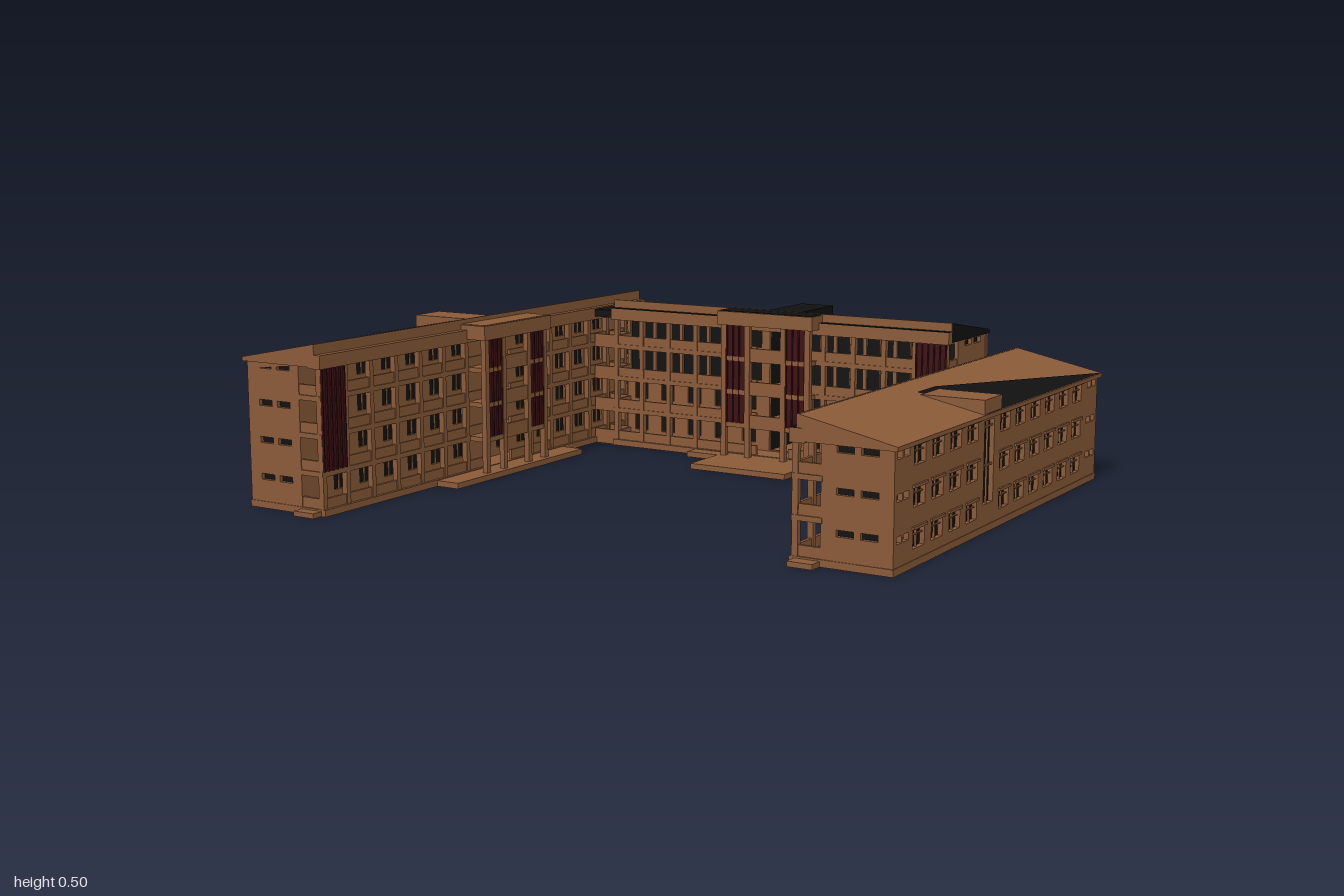
import * as THREE from 'three';

const mat = (c) => new THREE.MeshStandardMaterial({ color: c });
const BROWN = mat(0x8a5a38), DARK = mat(0x111111), RED = mat(0x3c0f12);
const STOREY = 0.11, BASE = 0.02;

function add(parent, name, geometry, material = BROWN) {
  const m = new THREE.Mesh(geometry, material);
  m.name = name;
  parent.add(m);
  return m;
}

// box given by its min / max corners
function box(parent, name, x0, x1, y0, y1, z0, z1, material) {
  const g = new THREE.BoxGeometry(x1 - x0, y1 - y0, z1 - z0);
  g.translate((x0 + x1) / 2, (y0 + y1) / 2, (z0 + z1) / 2);
  return add(parent, name, g, material);
}

function rectPath(P, [x0, x1, y0, y1]) {
  const p = new P();
  p.moveTo(x0, y0).lineTo(x1, y0).lineTo(x1, y1).lineTo(x0, y1).closePath();
  return p;
}

// flat wall in the xy plane with rectangular openings
function wallGeometry(rect, holes, depth) {
  const s = rectPath(THREE.Shape, rect);
  s.holes = holes.map((h) => rectPath(THREE.Path, h));
  return new THREE.ExtrudeGeometry(s, { depth, bevelEnabled: false });
}

// Vertical slats over a dark red screen
function louvre(parent, x0, x1, y0, y1, z) {
  box(parent, 'redScreen', x0, x1, y0, y1, z - 0.006, z, RED);
  const n = Math.round((x1 - x0) / 0.02);
  for (let i = 0; i <= n; i++) {
    const x = x0 + ((x1 - x0) * i) / n;
    box(parent, 'slat', x - 0.002, x + 0.002, y0, y1, z - 0.008, z + 0.005, RED);
  }
}

// Projecting entrance bay: platform, columns, louvres, balconies, flat roof
function entrance(parent, o) {
  const g = new THREE.Group();
  g.name = 'entranceBay';
  parent.add(g);
  const { d, floors, bayDepth: p, bayTop: top } = o;
  const z0 = d - 0.02, z1 = d + p;
  for (const [w, z] of o.steps) box(g, 'entranceStep', -w, w, 0, 0.018, d - 0.03, d + z);
  box(g, 'bayRoof', -0.175, 0.175, top - 0.045, top, d - 0.04, z1, BROWN);
  box(g, 'bayRoofTop', -0.17, 0.17, top, top + 0.002, d - 0.04, z1 - 0.005, o.roofMat);
  for (const s of [-1, 1]) {
    for (const x of [0.066, 0.155])
      box(g, 'bayColumn', s * x - 0.009, s * x + 0.009, 0, top - 0.045, z1 - 0.025, z1 - 0.007);
    const a = s * 0.11;
    louvre(g, a - 0.034, a + 0.034, 0.13, top - 0.045, z1 - 0.014);
  }
  for (let f = 1; f < floors; f++) {
    const y = BASE + f * STOREY;
    box(g, 'bayFloor', -0.16, 0.16, y - 0.015, y, z0, z1 - 0.01);
    box(g, 'bayParapet', -0.06, 0.06, y, y + 0.03, z1 - 0.02, z1 - 0.01);
  }
}

// One block; x runs along it, z from the outer wall (0) to the gallery (d)
function block(name, o) {
  const g = new THREE.Group();
  g.name = name;
  const { x0, x1, d, floors, eave, ridge, first, step, margin } = o;
  const top = eave - 0.012, zc = d - 0.09, a = x0 + 0.012, b = x1 - 0.012;
  const fl = [...Array(floors).keys()].map((f) => BASE + f * STOREY);
  const centres = [];
  for (let c = first; c < 1; c += step) {
    if (c < x1 - margin) centres.push(c);
    if (-c > x0 + margin) centres.push(-c);
  }

  // Base and dark interior behind the window openings
  box(g, 'base', x0 + 0.005, x1 - 0.005, 0, BASE, 0.01, d);
  const rooms = o.hall ? [[a, -0.06], [0.06, b]] : [[a, b]];
  for (const [p, q] of rooms)
    box(g, 'interior', p + 0.008, q - (q === b ? 0.008 : 0), BASE, top, 0.026, zc - 0.008, DARK);

  // Outer wall with windows and a stair window
  const outer = [], inner = [];
  for (const y of fl) {
    for (const c of centres) {
      outer.push([c - 0.035, c + 0.035, y + 0.029, y + 0.081]);
      if (Math.abs(c) < 0.07) continue;
      const wide = o.wideTop && y > 0.2;
      const w = wide ? 0.047 : 0.026;
      inner.push([c - w, c + w, y + (wide ? 0.015 : 0.025), y + 0.082]);
    }
    if (o.hall) {
      outer.push([-0.045, 0.045, y + 0.03, y + 0.09]);
      inner.push([-0.055, 0.055, y + 0.004, y + 0.09]);
    }
  }
  if (!o.hall) outer.push([-0.034, 0.034, 0.08, top - 0.01]);
  if (margin > 0.1) // small paired openings near the corners
    for (const y of fl) for (const e of [x0 + 0.025, x1 - 0.095])
      for (const k of [0, 0.04]) outer.push([e + k, e + k + 0.03, y + 0.06, y + 0.08]);
  add(g, 'outerWall', wallGeometry([a, b, 0.01, top], outer, 0.016), o.rearMat).position.z = 0.012;
  add(g, 'galleryWall', wallGeometry([a, b, 0.01, top], inner, 0.012)).position.z = zc - 0.012;

  // Window bars and lintels
  for (const y of fl) for (const c of centres) {
    box(g, 'windowBar', c - 0.002, c + 0.002, y + 0.029, y + 0.081, 0.018, 0.024);
    box(g, 'windowRail', c - 0.035, c + 0.035, y + 0.062, y + 0.065, 0.018, 0.024);
    box(g, 'lintel', c - 0.042, c + 0.042, y + 0.081, y + 0.089, 0.006, 0.014, o.rearMat);
    box(g, 'galleryWindowBar', c - 0.002, c + 0.002, y + 0.025, y + 0.082, zc - 0.007, zc - 0.002);
  }
  for (const y of fl) box(g, 'stairRail', -0.045, 0.045, y + 0.055, y + 0.06, 0.016, 0.022);
  box(g, 'stairBar', -0.002, 0.002, 0.08, top, 0.016, 0.022);

  // Ribs on the outer wall
  if (o.ribs) for (const c of [...centres.flatMap((v) => [v + step / 2]), x0 + 0.012, -0.07, 0.07])
    box(g, 'rib', c - 0.006, c + 0.006, 0, top, 0, 0.016);

  // End walls with slot windows
  const slots = fl.flatMap((y) => [[0.055, 0.105, y + 0.065, y + 0.083], [0.125, 0.175, y + 0.065, y + 0.083]]);
  for (const x of [x0 + 0.02, x1 - 0.008]) {
    const w = wallGeometry([0.012, zc, 0, top], slots, 0.012);
    w.rotateY(-Math.PI / 2);
    add(g, 'endWall', w).position.x = x;
  }

  // Stair hall running through the block
  if (o.hall) for (const y of fl) {
    box(g, 'hallFloor', -0.06, 0.06, y - 0.012, y, 0.1, zc);
    const flight = add(g, 'stairFlight', new THREE.BoxGeometry(0.045, 0.008, 0.13), DARK);
    flight.position.set(0.03, y + 0.05, 0.09);
    flight.rotation.x = 0.6;
  }

  // Gallery: slabs, parapets, columns
  for (const y of fl) {
    box(g, 'gallerySlab', x0 + 0.005, x1 - 0.005, y - 0.015, y, zc - 0.005, d - 0.006);
    for (const [p, q] of [[x0 + 0.01, -0.06], [0.06, x1 - 0.01]])
      box(g, 'galleryParapet', p, q, y, y + 0.03, d - 0.02, d - 0.01);
    for (const x of [x0 + 0.01, x1 - 0.02])
      box(g, 'endParapet', x, x + 0.01, y, y + 0.03, zc, d - 0.01);
  }
  const posts = centres.map((c) => c + (Math.sign(c) * step) / 2).filter((c) => c > x0 + 0.03 && c < x1 - 0.03);
  for (const c of [...posts, x0 + 0.015, x1 - 0.015])
    box(g, 'galleryColumn', c - 0.008, c + 0.008, 0, top, d - 0.024, d - 0.006);
  box(g, 'galleryRoof', x0, x1, top - 0.004, eave + 0.022, d - 0.045, d, BROWN);
  box(g, 'galleryRoofTop', x0, x1, eave + 0.022, eave + 0.024, d - 0.04, d, o.stripMat);
  if (o.screen) louvre(g, o.screen[0], o.screen[1], 0.13, top, d - 0.005);

  // Single-slope roof prism, high edge over the gallery
  const r = d - 0.025;
  const s = new THREE.Shape();
  s.moveTo(0, top).lineTo(r, top).lineTo(r, ridge).lineTo(0, eave).closePath();
  const rg = new THREE.ExtrudeGeometry(s, { depth: x1 - x0, bevelEnabled: false });
  rg.rotateY(-Math.PI / 2);
  add(g, 'roof', rg, o.roofMat).position.x = x1;
  box(g, 'ridgeFascia', x0, x1, eave, ridge, r - 0.004, r + 0.003);
  box(g, 'stairHead', -0.06, 0.06, top, eave + 0.042, 0.002, 0.23, o.roofMat);

  // Dark patch lying on the slope
  if (o.patch) {
    const pg = new THREE.ShapeGeometry(new THREE.Shape(o.patch.map(([x, z]) => new THREE.Vector2(x, z))));
    const p = pg.attributes.position;
    for (let i = 0; i < p.count; i++) {
      const z = p.getY(i);
      p.setXYZ(i, p.getX(i), eave + ((ridge - eave) * z) / r + 0.002, z);
    }
    pg.computeVertexNormals();
    const m = DARK.clone();
    m.side = THREE.DoubleSide;
    add(g, 'roofPatch', pg, m);
  }

  // Steps at the gallery ends
  for (const [p, q] of o.endSteps) box(g, 'endStep', p, q, 0, 0.015, zc, d - 0.015);
  entrance(g, o);
  return g;
}

// Open walkway joining two blocks
function link(x0, x1, floors, top) {
  const g = new THREE.Group();
  g.name = 'linkWalkway';
  for (let f = 0; f < floors; f++) {
    const y = BASE + f * STOREY;
    box(g, 'linkFloor', x0, x1, f ? y - 0.015 : 0, y, -0.65, -0.55);
    for (const z of [-0.65, -0.56]) box(g, 'linkParapet', x0, x1, y, y + 0.03, z, z + 0.01);
  }
  box(g, 'linkRoof', x0, x1, top - 0.025, top, -0.65, -0.545, DARK);
  return g;
}

export function createModel() {
  const model = new THREE.Group();
  model.name = 'schoolBuilding';

  const back = block('backBlock', {
    x0: -0.625, x1: 0.625, d: 0.32, floors: 4, eave: 0.45, ridge: 0.5, first: 0.133, step: 0.107, margin: 0.04,
    hall: true, wideTop: true, ribs: true, rearMat: DARK, roofMat: DARK, stripMat: DARK,
    screen: [0.515, 0.615], endSteps: [], bayDepth: 0.05, bayTop: 0.497, steps: [[0.29, 0.05], [0.173, 0.22]],
  });
  back.position.set(-0.005, 0, -0.86);

  const tall = block('rightWing', {
    x0: -0.85, x1: 0.85, d: 0.3, floors: 4, eave: 0.445, ridge: 0.5, first: 0.113, step: 0.113, margin: 0.12,
    rearMat: BROWN, roofMat: BROWN, stripMat: BROWN, screen: [-0.84, -0.745], endSteps: [[-0.88, -0.84]],
    patch: [[0.06, 0], [0.06, 0.21], [-0.06, 0.21], [-0.82, 0.27], [-0.06, 0]],
    bayDepth: 0.07, bayTop: 0.485, steps: [[0.335, 0.08]],
  });
  tall.rotation.y = Math.PI / 2;
  tall.position.set(-1, 0, -0.01);

  const low = block('leftWing', {
    x0: -0.86, x1: 0.61, d: 0.31, floors: 3, eave: 0.337, ridge: 0.397, first: 0.113, step: 0.113, margin: 0.12,
    rearMat: BROWN, roofMat: BROWN, stripMat: DARK, endSteps: [[-0.88, -0.85], [0.6, 0.645]],
    patch: [[-0.85, 0], [-0.07, 0.21], [0.05, 0.21], [0.05, 0]],
    bayDepth: 0.01, bayTop: 0.36, steps: [[0.18, 0.012]],
  });
  low.rotation.y = -Math.PI / 2;
  low.position.set(1, 0, 0);

  model.add(back, tall, low, link(-0.705, -0.62, 4, 0.465), link(0.61, 0.695, 3, 0.36));
  return model;
}
